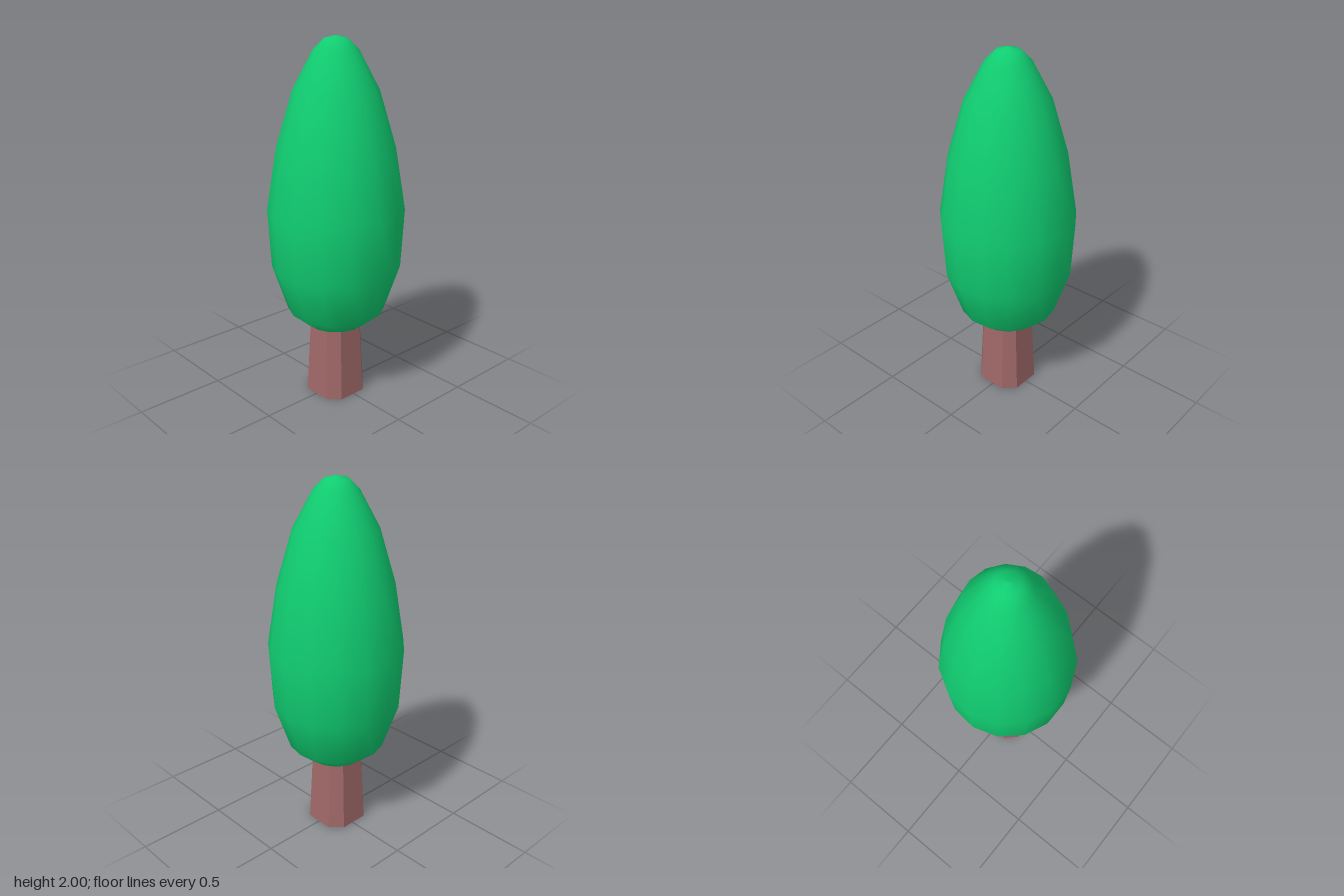
import * as THREE from 'three';

// Foliage: a smooth 15-sided egg, open underneath
function makeFoliage() {
  const profile = [
    [0.167, 0.422], [0.27, 0.508], [0.355, 0.765], [0.3725, 1.09], [0.316, 1.43],
    [0.226, 1.73], [0.118, 1.93], [0.062, 1.985], [0, 2],
  ].map(([r, y]) => new THREE.Vector2(r, y));
  const mesh = new THREE.Mesh(
    new THREE.LatheGeometry(profile, 15, Math.PI / 2),
    new THREE.MeshStandardMaterial({ color: 0x10cc70, side: THREE.DoubleSide })
  );
  mesh.name = 'foliage';
  mesh.position.x = -0.0055;
  return mesh;
}

// Trunk: a tapered square post with chamfered corners, open at both ends
function makeTrunk() {
  const height = 0.44;
  const indexed = new THREE.CylinderGeometry(1, 1, height, 8, 1, true, Math.PI / 8);
  indexed.translate(0, height / 2, 0);
  const pos = indexed.attributes.position;
  for (let i = 0; i < pos.count; i++) {
    const x = pos.getX(i), z = pos.getZ(i), top = pos.getY(i) > height / 2;
    const wide = top ? 0.123 : 0.144, narrow = top ? 0.07 : 0.081;
    const xIsWide = Math.abs(x) > Math.abs(z);
    pos.setX(i, Math.sign(x) * (xIsWide ? wide : narrow));
    pos.setZ(i, Math.sign(z) * (xIsWide ? narrow : wide));
  }
  const geometry = indexed.toNonIndexed();
  geometry.computeVertexNormals();
  const mesh = new THREE.Mesh(
    geometry,
    new THREE.MeshStandardMaterial({ color: 0xa06868, flatShading: true, side: THREE.DoubleSide })
  );
  mesh.name = 'trunk';
  mesh.position.x = -0.011;
  return mesh;
}

export function createModel() {
  const tree = new THREE.Group();
  tree.name = 'tree';
  tree.add(makeFoliage(), makeTrunk());
  return tree;
}
